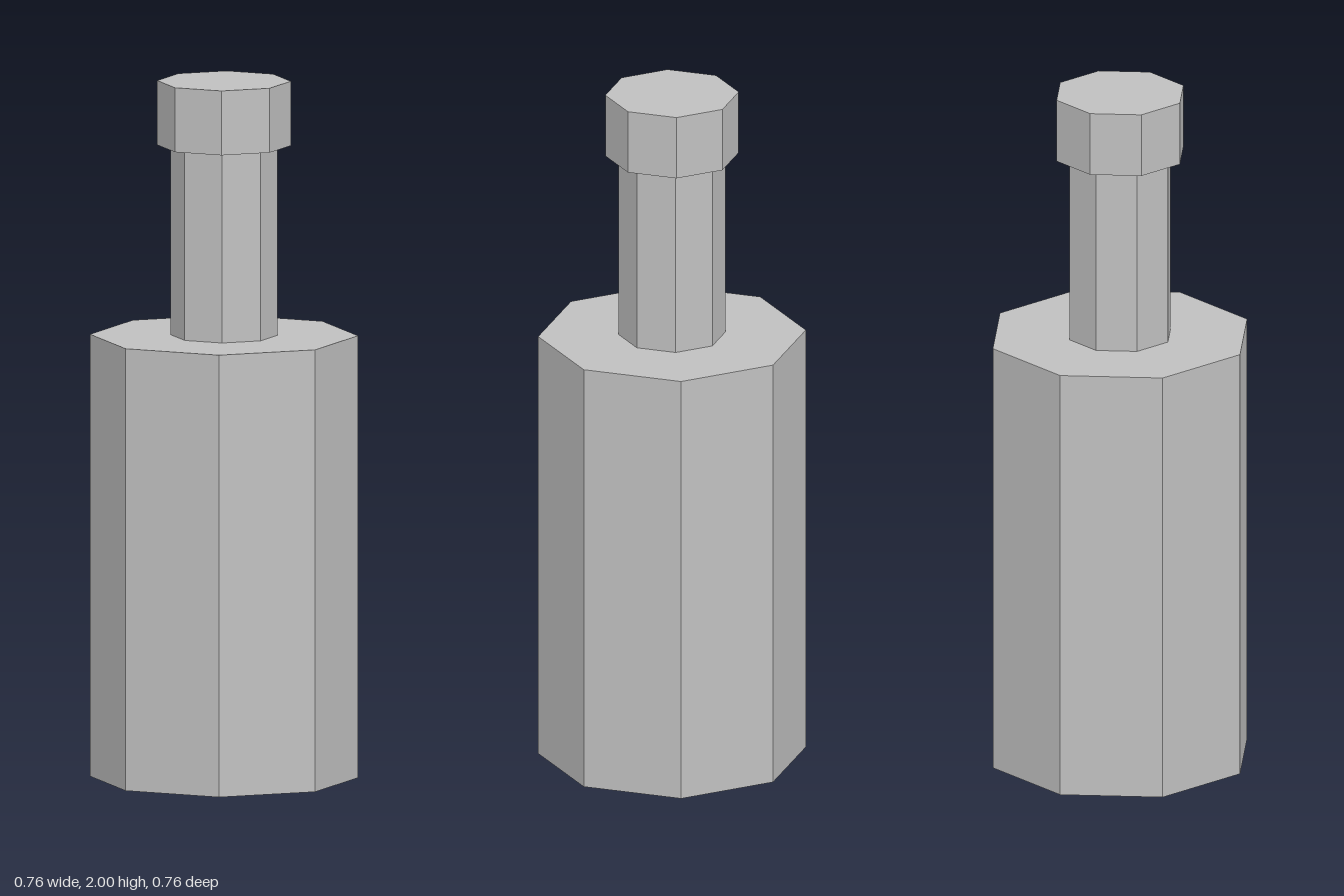
import * as THREE from 'three';

export function createModel() {
  const model = new THREE.Group();
  const grey = new THREE.MeshStandardMaterial({ color: 0xc0c0c0, flatShading: true });
  grey.name = 'grey';

  // Eight-sided prism spanning two heights, corners on the x and z axes
  function prism(name, radius, bottom, top) {
    const geometry = new THREE.CylinderGeometry(radius, radius, top - bottom, 8);
    const mesh = new THREE.Mesh(geometry, grey);
    mesh.name = name;
    mesh.position.y = (bottom + top) / 2;
    model.add(mesh);
  }

  prism('body', 0.381, 0, 1.27);
  prism('neck', 0.152, 1.27, 1.815);
  prism('cap', 0.19, 1.815, 2);

  return model;
}
